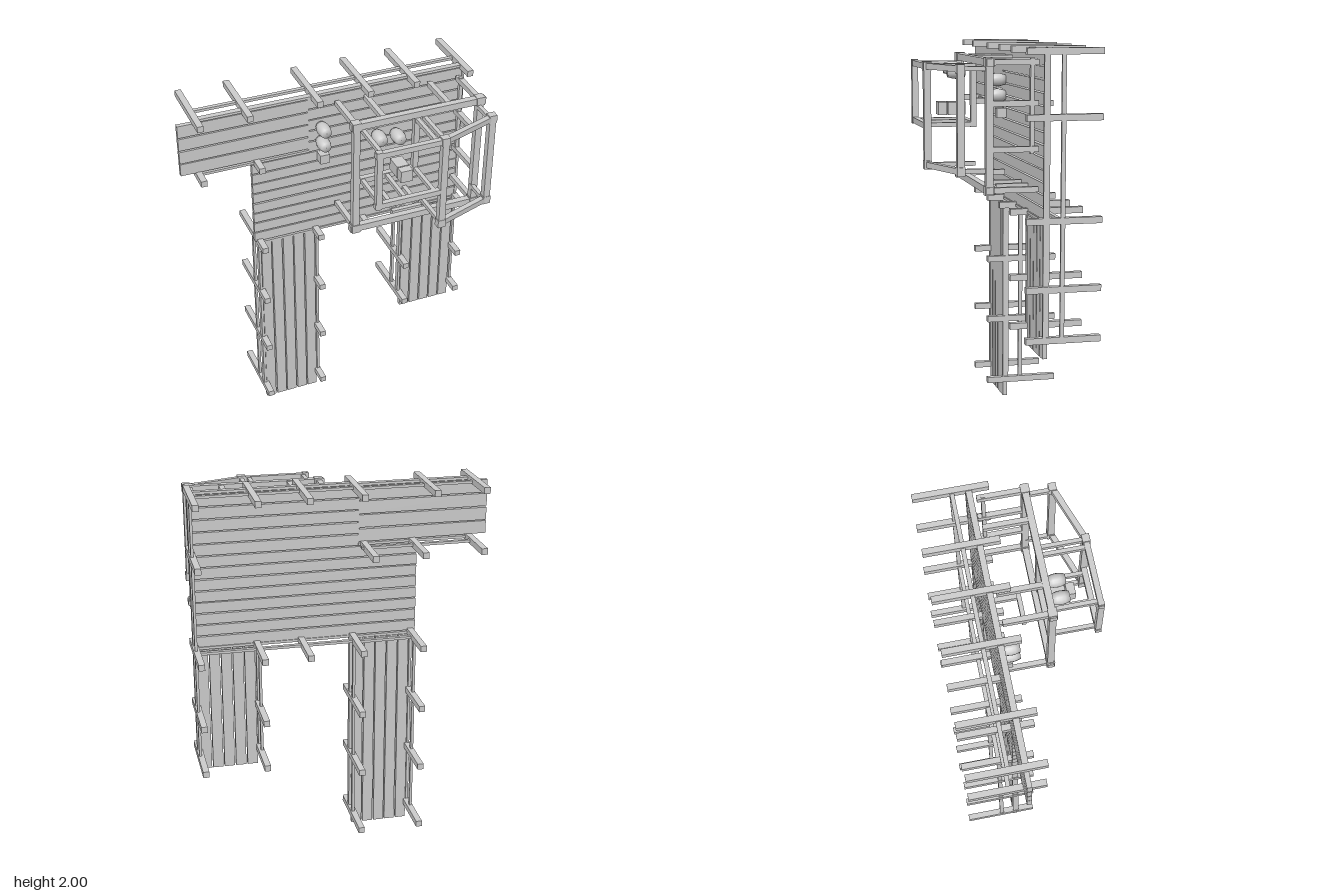
import * as THREE from 'three';

export function createModel() {
  const root = new THREE.Group();
  root.name = 'plankPier';
  const timber = new THREE.MeshStandardMaterial({ color: 0xcccccc });
  timber.name = 'timber grey';

  let seed = 7;
  const rnd = () => (seed = (seed * 16807) % 2147483647) / 2147483647 - 0.5;

  const group = (name) => {
    const g = new THREE.Group();
    g.name = name;
    root.add(g);
    return g;
  };
  // Box given by its extents on each axis
  const box = (parent, name, [x0, x1], [y0, y1], [z0, z1]) => {
    const m = new THREE.Mesh(new THREE.BoxGeometry(x1 - x0, y1 - y0, z1 - z0), timber);
    m.position.set((x0 + x1) / 2, (y0 + y1) / 2, (z0 + z1) / 2);
    m.name = name;
    parent.add(m);
    return m;
  };
  // Square beam between two points
  const beam = (parent, name, a, b, w = 0.036) => {
    const p = new THREE.Vector3(...a), q = new THREE.Vector3(...b);
    const m = new THREE.Mesh(new THREE.BoxGeometry(w, w, p.distanceTo(q)), timber);
    m.position.copy(p).add(q).multiplyScalar(0.5);
    m.lookAt(q);
    m.name = name;
    parent.add(m);
  };

  // Decking: slightly crooked boards with narrow gaps
  const deck = group('decking');
  const Z = [-0.148, -0.123];
  const GAP = 0.007;
  const rowBoards = (name, x0, x1, y0, y1, n) => {
    const h = (y1 - y0) / n;
    for (let i = 0; i < n; i++) {
      const y = y0 + i * h;
      box(deck, name, [x0, x1], [y + GAP / 2, y + h - GAP / 2], Z).rotation.z = rnd() * 0.006;
    }
  };
  const columnBoards = (name, x0, x1, y0, y1, n) => {
    const w = (x1 - x0) / n;
    for (let i = 0; i < n; i++) {
      const x = x0 + i * w;
      box(deck, name, [x + GAP / 2, x + w - GAP / 2], [y0, y1], Z).rotation.z = rnd() * 0.006;
    }
  };
  rowBoards('armBoard', -0.8, -0.1, 1.67, 1.97, 4);
  rowBoards('mainUpperBoard', -0.105, 0.775, 1.65, 1.975, 5);
  rowBoards('mainLowerBoard', -0.42, 0.775, 1.15, 1.65, 8);
  columnBoards('longWalkBoard', -0.39, -0.07, 0, 1.13, 5);
  columnBoards('shortWalkBoard', 0.457, 0.772, 0.44, 1.13, 5);

  // Edge rails in two layers: beside the boards and further back
  const rails = group('rails');
  const railLayers = [[-0.15, -0.118], [-0.23, -0.208]];
  const T = 0.007;
  for (const z of railLayers) {
    for (const [x0, x1, y] of [
      [-0.7, -0.08, 1.98], [-0.07, 0.785, 1.985], [-0.7, -0.1, 1.66],
      [-0.39, -0.06, 1.14], [-0.06, 0.785, 1.145],
    ]) box(rails, 'crossRail', [x0, x1], [y - T, y + T], z);
    for (const [x, y0, y1] of [
      [-0.397, 0.1, 1.14], [-0.062, 0.1, 1.14], [0.447, 0.54, 1.14], [0.782, 0.54, 1.985],
    ]) box(rails, 'longRail', [x - T, x + T], [y0, y1], z);
  }

  // Pilings running through the deck
  const pilings = group('pilings');
  const P = 0.0165;
  const piling = (x, y, front = -0.03) =>
    box(pilings, 'piling', [x - P, x + P], [y - P, y + P], [-0.42, front]);
  [-0.705, -0.445, -0.07, 0.21, 0.47, 0.778].forEach((x) => piling(x, 1.983));
  piling(-0.705, 1.66);
  piling(-0.392, 1.66);
  piling(-0.128, 1.66, -0.15);
  piling(0.778, 1.66);
  [-0.392, -0.07, 0.21, 0.45, 0.778].forEach((x) => piling(x, 1.147));
  for (const y of [0.1, 0.455, 0.8]) [-0.392, -0.065].forEach((x) => piling(x, y));
  for (const y of [0.54, 0.8]) [0.45, 0.778].forEach((x) => piling(x, y));

  // Lower storey of the open frame
  const lower = group('lowerFrame');
  const F = 0.148, L = 0.05, R = 0.743, B = 1.305, U = 1.93;
  const bar = (parent, name, a, b, w) => beam(parent, name, a, b, w);
  bar(lower, 'frameSide', [L, B - 0.02, F], [L, U + 0.02, F]);
  bar(lower, 'frameSide', [R, B - 0.02, F], [R, U + 0.02, F]);
  bar(lower, 'frameTop', [L - 0.03, U, F], [R + 0.03, U, F]);
  bar(lower, 'frameBottom', [L - 0.03, B, F], [R + 0.03, B, F]);
  for (const x of [L, R]) for (const y of [B, U])
    box(lower, 'joint', [x - 0.023, x + 0.023], [y - 0.023, y + 0.023], [F - 0.023, F + 0.023]);
  const stud = (x, y, z1 = 0.135) => bar(lower, 'stud', [x, y, -0.1], [x, y, z1], 0.028);
  for (const x of [L, 0.21, 0.575, R]) stud(x, U);
  stud(L, B);
  stud(R, B);
  for (const y of [1.505, 1.73]) stud(R, y);
  bar(lower, 'sideRail', [R, 1.48, -0.068], [R, 1.95, -0.068], 0.02);
  // Doorway
  for (const x of [0.325, 0.46]) bar(lower, 'doorPost', [x, 1.285, -0.12], [x, 1.285, 0.048], 0.026);
  box(lower, 'lintel', [0.305, 0.48], [1.255, 1.29], [0.047, 0.072]);

  // Upper storey with one slanted bay
  const upper = group('upperFrame');
  const G = 0.396, S = 0.29, TU = 1.9, BU = 1.402, M = 0.428, L2 = 0.07, B2 = 1.6;
  bar(upper, 'frontTop', [0.05, TU, G], [M, TU, G], 0.03);
  bar(upper, 'frontBottom', [0.05, B2, G], [M, B2, G], 0.03);
  bar(upper, 'frontSide', [L2, B2 - 0.02, G], [L2, TU + 0.02, G], 0.032);
  bar(upper, 'frontMiddle', [M, BU - 0.02, G], [M, TU + 0.02, G]);
  bar(upper, 'slantedTop', [M, TU, G], [R, TU, S], 0.03);
  bar(upper, 'slantedBottom', [M, BU, G], [R, BU, S], 0.03);
  bar(upper, 'backSide', [R, BU - 0.02, S], [R, TU + 0.02, S]);
  for (const [x, z] of [[M, G], [R, S]]) for (const y of [BU, TU])
    box(upper, 'joint', [x - 0.022, x + 0.022], [y - 0.022, y + 0.022], [z - 0.02, z + 0.02]);
  for (const [x, y, z] of [
    [0.085, TU, G], [0.222, B2, G], [0.385, TU, G], [M, TU, G], [M, BU, G],
    [0.085, B2, G], [0.385, B2, G], [R - 0.01, TU, S], [R - 0.01, BU, S],
  ]) bar(upper, 'strut', [x, y, F], [x, y, z], 0.022);
  // Inner rectangle tying the struts together at floor level
  bar(upper, 'innerSide', [0.385, B2, F], [0.385, U, F], 0.03);
  bar(upper, 'innerBottom', [L, B2, F], [0.4, B2, F], 0.03);

  // Barrels and crates
  const cargo = group('cargo');
  const barrelGeo = new THREE.LatheGeometry(
    [[0, 0], [0.027, 0], [0.034, 0.025], [0.036, 0.045], [0.034, 0.065], [0.027, 0.09], [0, 0.09]]
      .map(([r, h]) => new THREE.Vector2(r, h)), 16);
  for (const [x, y, z] of [
    [-0.035, 1.8, -0.122], [-0.037, 1.715, -0.122], [0.152, 1.875, 0.166], [0.255, 1.86, 0.166],
  ]) {
    const m = new THREE.Mesh(barrelGeo, timber);
    m.name = 'barrel';
    m.position.set(x, y, z);
    m.rotation.x = Math.PI / 2;
    cargo.add(m);
  }
  const crate = (x, y, s, z) => box(cargo, 'crate', [x - s, x + s], [y - s, y + s], z);
  crate(-0.03, 1.62, 0.026, [-0.122, -0.07]);
  crate(0.266, 1.675, 0.033, [0.17, 0.262]);
  crate(0.266, 1.675, 0.033, [0.268, 0.313]);

  return root;
}
